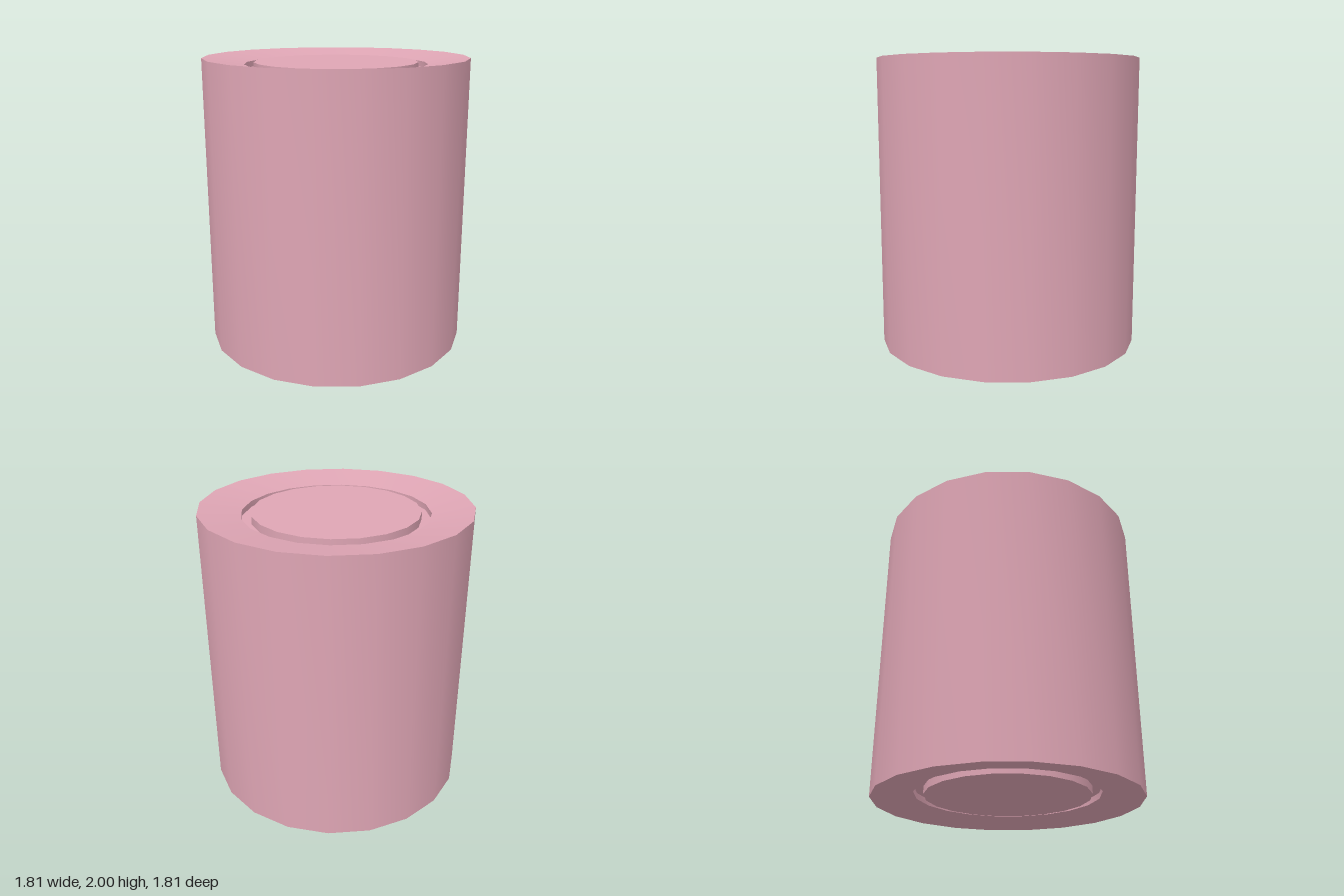
import * as THREE from 'three';
import { toCreasedNormals } from 'three/addons/utils/BufferGeometryUtils.js';

const SIDES = 20;
const HEIGHT = 2;
const OUTER = 0.905; // outer wall radius
const RIM = 0.625; // inner edge of the sloped end rings
const CORE = 0.56; // radius of the raised end plates
const RIM_DROP = 0.045; // how far each end ring dips inward
const PLATE_DROP = 0.032; // end plates sit just below the outer edge
const GROOVE_DROP = 0.085; // floor of the groove around each plate

// Revolves a half profile (bottom end, from the axis outwards) mirrored to the top
function revolve(name, half, material) {
  const bottom = half.map(([r, y]) => new THREE.Vector2(r, y));
  const top = half.map(([r, y]) => new THREE.Vector2(r, HEIGHT - y)).reverse();
  const geometry = new THREE.LatheGeometry([...bottom, ...top], SIDES);
  const mesh = new THREE.Mesh(toCreasedNormals(geometry, 0.5), material);
  mesh.name = name;
  return mesh;
}

export function createModel() {
  const group = new THREE.Group();
  group.name = 'cylinder';
  const pink = new THREE.MeshStandardMaterial({ color: 0xdea5b4 });

  // Outer shell: groove floor, groove wall, dished end ring, side wall
  group.add(revolve('shell', [
    [CORE, GROOVE_DROP],
    [RIM, GROOVE_DROP],
    [RIM, RIM_DROP],
    [OUTER, 0],
  ], pink));

  // Core whose ends show as flat round plates
  const core = new THREE.CylinderGeometry(CORE, CORE, HEIGHT - 2 * PLATE_DROP, SIDES);
  const coreMesh = new THREE.Mesh(core, pink);
  coreMesh.name = 'core';
  coreMesh.position.y = HEIGHT / 2;
  group.add(coreMesh);

  return group;
}
